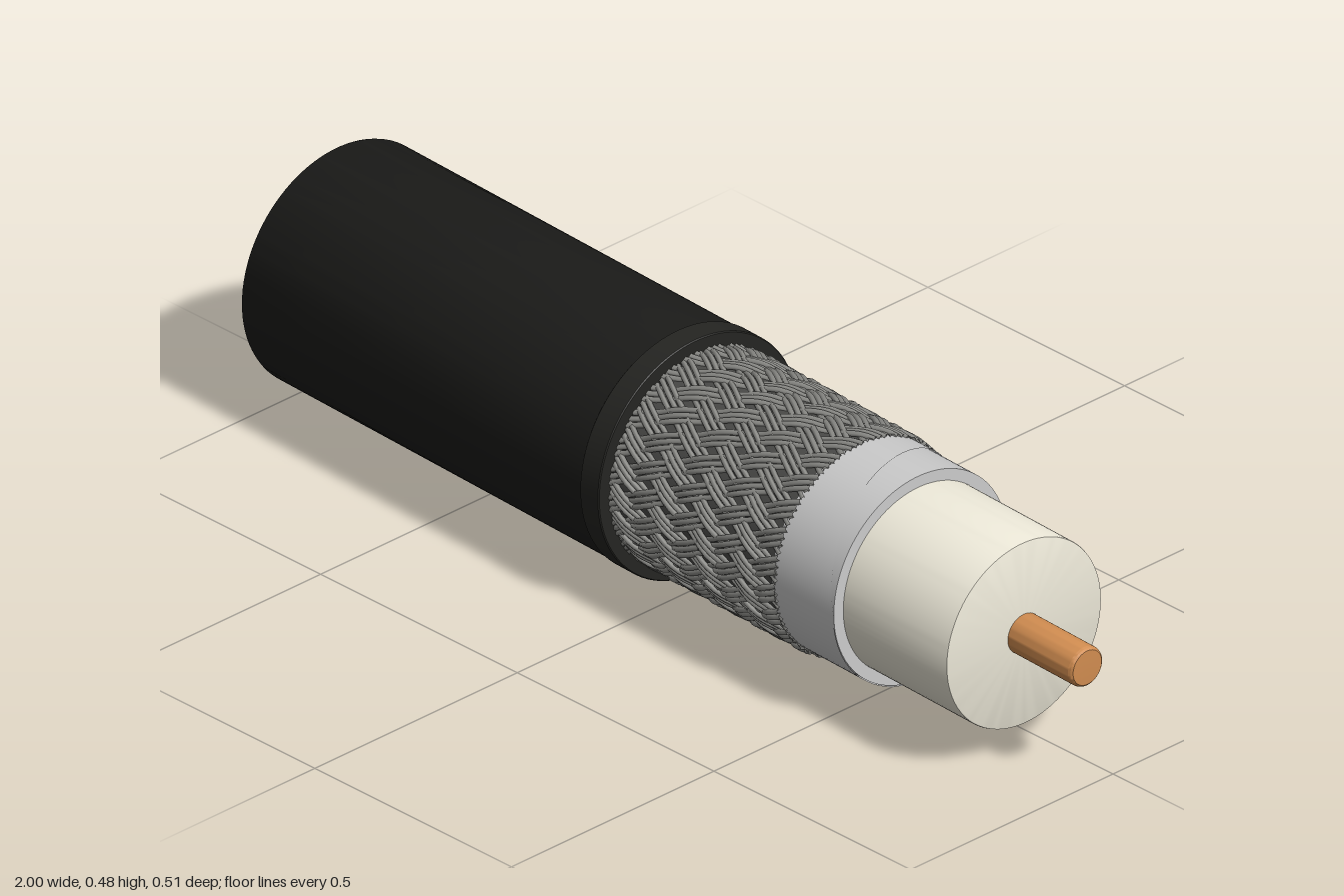
import * as THREE from 'three';
import { mergeGeometries, toCreasedNormals } from 'three/addons/utils/BufferGeometryUtils.js';
import { ParametricGeometry } from 'three/addons/geometries/ParametricGeometry.js';

const material = (color) => new THREE.MeshStandardMaterial({ color, side: THREE.DoubleSide });

function addMesh(group, name, geometry, color) {
  const mesh = new THREE.Mesh(geometry, material(color));
  mesh.name = name;
  group.add(mesh);
}

// Turned part along the x axis; profile is a list of [x, radius]
function turned(profile, sides = 96) {
  const points = profile.map(([x, r]) => new THREE.Vector2(r, x));
  const geometry = new THREE.LatheGeometry(points, sides).rotateZ(-Math.PI / 2);
  return toCreasedNormals(geometry, 0.6);
}

// Crossing flat strands of wire, each weaving over and under the others
function braidGeometry(start, end) {
  const strands = 24, wires = 3, turn = 2.4, wireRadius = 0.0055;
  const step = (Math.PI * 2) / strands;
  const parts = [];
  for (const dir of [1, -1]) {
    for (let i = 0; i < strands; i++) {
      for (let w = 0; w < wires; w++) {
        const first = i * step + (w - (wires - 1) / 2) * 0.062;
        const points = [];
        for (let k = 0; k <= 28; k++) {
          const x = start + ((end - start) * k) / 28;
          const a = first + dir * turn * x;
          const r = 0.2085 + dir * 0.0038 * Math.cos(strands * turn * x);
          points.push(new THREE.Vector3(x, r * Math.cos(a), r * Math.sin(a)));
        }
        parts.push(new THREE.TubeGeometry(new THREE.CatmullRomCurve3(points), 32, wireRadius, 5));
      }
    }
  }
  return mergeGeometries(parts);
}

export function createModel() {
  const model = new THREE.Group();
  model.name = 'coaxialCable';
  const cable = new THREE.Group();
  cable.name = 'strippedCable';
  model.add(cable);

  // Outer jacket and the lip where it is cut back
  addMesh(cable, 'outerJacket', turned([
    [-0.99, 0], [-0.99, 0.229], [-0.988, 0.233], [-0.983, 0.235], [-0.06, 0.235],
  ]), 0x1c1c1a);
  addMesh(cable, 'jacketLip', turned([
    [-0.085, 0.232], [-0.085, 0.236], [-0.083, 0.238], [-0.037, 0.238],
    [-0.035, 0.236], [-0.035, 0.2],
  ]), 0x252522);

  // Woven shield over a dark backing
  addMesh(cable, 'braidBacking', turned([[-0.06, 0.204], [0.405, 0.204]]), 0x4a4a48);
  addMesh(cable, 'braidedShield', braidGeometry(-0.05, 0.405), 0x90908c);

  // Foil sleeve with a spiral overlap
  addMesh(cable, 'foilSleeve', turned([
    [0.39, 0.2065], [0.555, 0.2065], [0.555, 0.184],
  ]), 0xd8d8d5);
  addMesh(cable, 'foilOverlap', new ParametricGeometry((u, v, target) => {
    const a = u * Math.PI * 2;
    const tip = Math.min(0.556, 0.405 + 0.048 * a);
    const x = 0.395 + (tip - 0.395) * v;
    target.set(x, 0.2085 * Math.sin(a), -0.2085 * Math.cos(a));
  }, 96, 4), 0xdededb);

  // Insulating core
  addMesh(cable, 'insulatingCore', turned([
    [0.38, 0.184], [0.826, 0.184], [0.829, 0.183], [0.83, 0.18], [0.83, 0],
  ]), 0xece8d8);

  // Centre conductor with a softened tip
  addMesh(cable, 'centreConductor', turned([
    [0.8, 0.039], [0.99, 0.039], [0.995, 0.0375], [0.998, 0.034], [0.999, 0],
  ], 48), 0xd08c50);

  // The cable lies slightly turned about the vertical
  cable.rotation.y = -0.041;
  cable.position.set(0, 0.238, 0.0195);
  return model;
}
